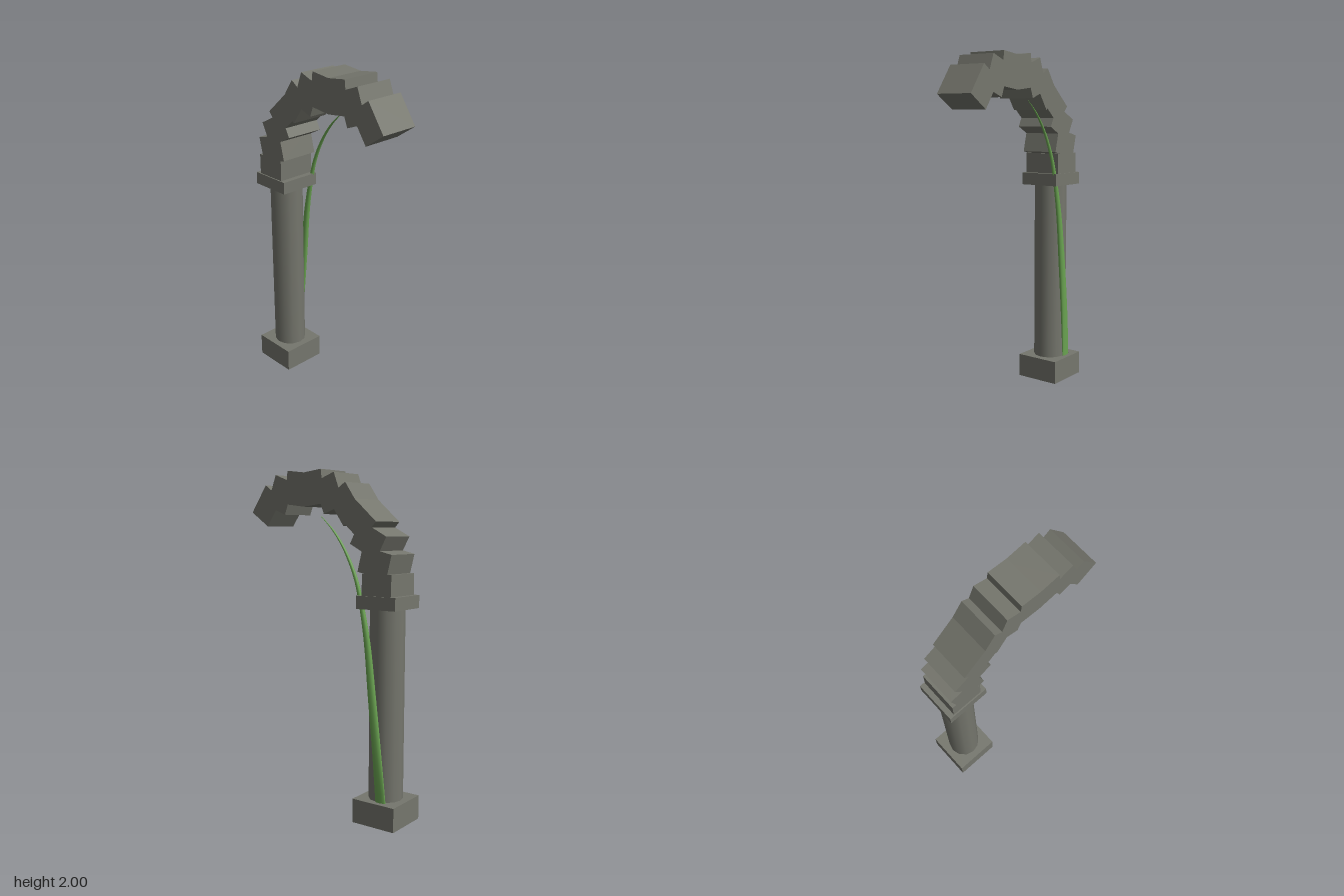
import * as THREE from 'three';

const stone = new THREE.MeshStandardMaterial({ color: 0x75766d });
stone.name = 'weathered stone';
const leaf = new THREE.MeshStandardMaterial({ color: 0x6ba552 });
leaf.name = 'vine green';

const COLUMN_X = -0.38;

function add(parent, name, geometry, material, x, y, z = 0) {
  const mesh = new THREE.Mesh(geometry, material);
  mesh.name = name;
  mesh.position.set(x, y, z);
  parent.add(mesh);
  return mesh;
}

// Flattened tapering stem: rings of [width, depth] swept along a curve
function vineGeometry() {
  // x, y, z, half width, half depth
  const stations = [
    [-0.41, 0.14, -0.102, 0.034, 0.007],
    [-0.385, 0.42, -0.106, 0.03, 0.014],
    [-0.35, 0.75, -0.108, 0.025, 0.017],
    [-0.315, 1.05, -0.107, 0.019, 0.015],
    [-0.276, 1.25, -0.106, 0.014, 0.012],
    [-0.235, 1.4, -0.106, 0.011, 0.01],
    [-0.165, 1.545, -0.106, 0.008, 0.008],
    [-0.085, 1.655, -0.106, 0.005, 0.006],
    [0.003, 1.737, -0.106, 0.001, 0.001],
  ];
  const path = new THREE.CatmullRomCurve3(stations.map(s => new THREE.Vector3(s[0], s[1], s[2])));
  const size = new THREE.CatmullRomCurve3(stations.map(s => new THREE.Vector3(s[3], s[4], 0)));
  const rings = 40, sides = 10, pos = [], index = [];
  for (let i = 0; i <= rings; i++) {
    const c = path.getPoint(i / rings), t = path.getTangent(i / rings), s = size.getPoint(i / rings);
    for (let j = 0; j < sides; j++) {
      const a = (j / sides) * Math.PI * 2, w = Math.cos(a) * s.x;
      pos.push(c.x + t.y * w, c.y - t.x * w, c.z + Math.sin(a) * s.y);
    }
  }
  for (let i = 0; i < rings; i++) {
    for (let j = 0; j < sides; j++) {
      const a = i * sides + j, b = i * sides + (j + 1) % sides;
      index.push(a, a + sides, b, b, a + sides, b + sides);
    }
  }
  const geometry = new THREE.BufferGeometry();
  geometry.setAttribute('position', new THREE.Float32BufferAttribute(pos, 3));
  geometry.setIndex(index);
  geometry.computeVertexNormals();
  return geometry;
}

export function createModel() {
  const model = new THREE.Group();
  model.name = 'brokenArch';

  // Column with plinth and capital
  add(model, 'plinth', new THREE.BoxGeometry(0.276, 0.14, 0.274), stone, COLUMN_X, 0.07);
  add(model, 'columnShaft', new THREE.CylinderGeometry(0.099, 0.099, 1.1, 12), stone, COLUMN_X, 0.685);
  add(model, 'capital', new THREE.BoxGeometry(0.254, 0.073, 0.252), stone, COLUMN_X, 1.266);

  // Arch stones follow a half ellipse that breaks off past the crown
  const arch = new THREE.Group();
  arch.name = 'archStones';
  model.add(arch);
  const block = new THREE.BoxGeometry(0.19, 0.145, 0.237);
  for (let i = 0; i < 10; i++) {
    const angle = (i / 13) * Math.PI;
    const stoneBlock = add(arch, `archStone${i + 1}`, block, stone,
      0.116 - 0.497 * Math.cos(angle), 1.35 + 0.548 * Math.sin(angle));
    // Each stone tilts the opposite way to the sweep, giving the ragged outline
    stoneBlock.rotation.z = angle;
  }

  // Vine growing up behind the column
  add(model, 'vine', vineGeometry(), leaf, 0, 0);
  return model;
}
